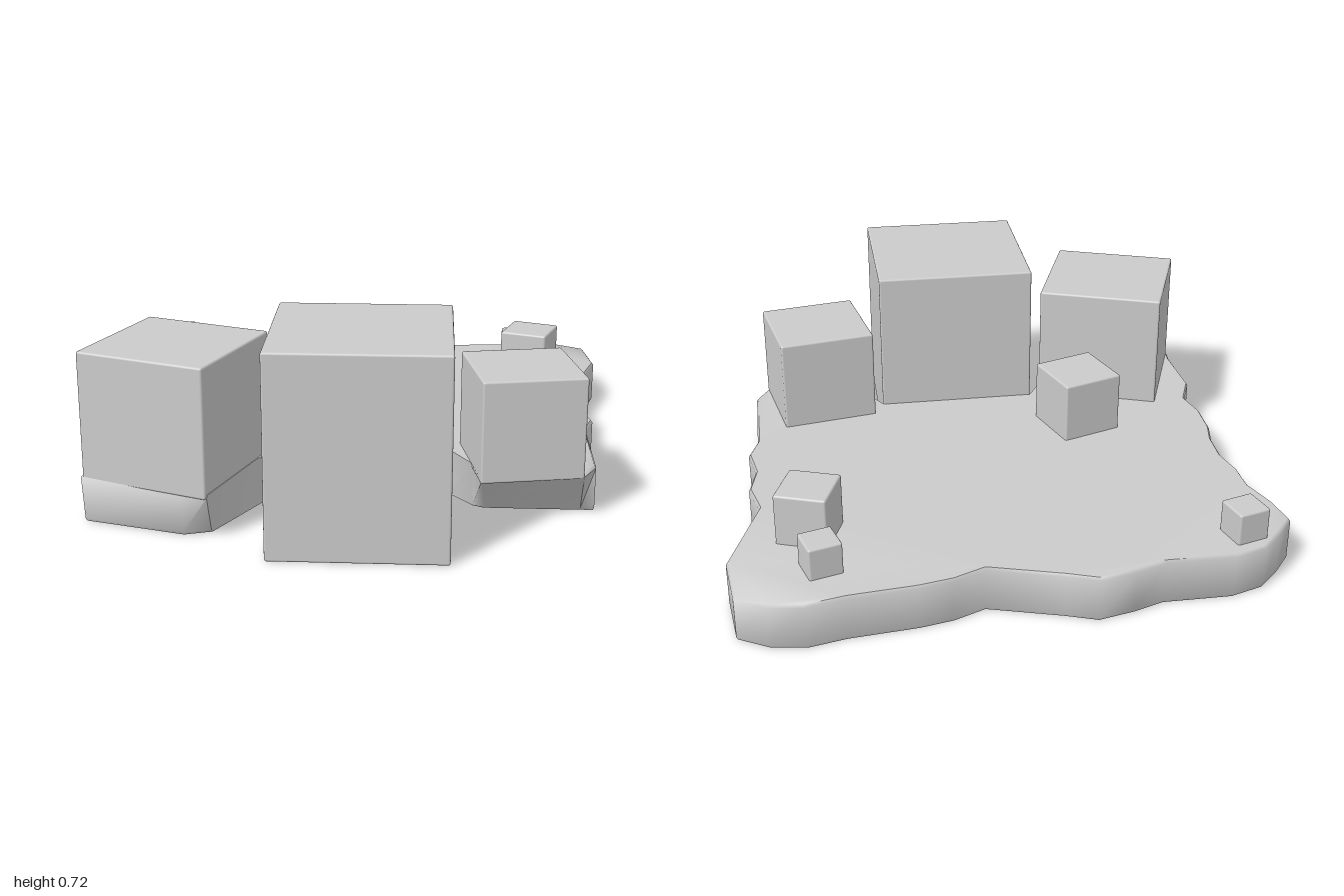
import * as THREE from 'three';
import { toCreasedNormals } from 'three/addons/utils/BufferGeometryUtils.js';
import { RoundedBoxGeometry } from 'three/addons/geometries/RoundedBoxGeometry.js';

const material = new THREE.MeshStandardMaterial({ color: 0xcccccc });
const TOP = 0.172; // slab surface height

// Slab outline [x, z], clockwise seen from above, in four runs
const backEdge = [
  [-1, -0.72], [-0.93, -0.81], [-0.86, -0.88], [-0.74, -0.92], [-0.49, -0.92], [-0.38, -0.96],
  [-0.25, -0.99], [-0.14, -0.95], [0.125, -0.87], [0.24, -0.92], [0.36, -0.945], [0.605, -0.97],
  [0.74, -1], [0.865, -0.98], [0.97, -0.92], [0.995, -0.71],
];
const leftEdge = [
  [0.88, -0.365], [0.915, -0.23], [0.89, -0.1], [0.915, 0.035], [0.88, 0.14], [0.88, 0.51],
];
// The front lip reaches out under the corner blocks and tucks in at the ground
const frontTop = [
  [0.83, 0.6], [0.47, 0.665], [0.44, 0.51], [0.365, 0.385],
  [-0.25, 0.385], [-0.33, 0.52], [-0.455, 0.86], [-0.55, 0.826], [-0.92, 0.695],
];
const frontGround = [
  [0.83, 0.51], [0.49, 0.51], [0.45, 0.49], [0.365, 0.385],
  [-0.25, 0.385], [-0.32, 0.52], [-0.455, 0.77], [-0.55, 0.8], [-0.91, 0.7],
];
const rightEdge = [
  [-0.915, 0.64], [-0.93, 0.39], [-0.88, 0.26], [-0.91, 0.14], [-0.91, 0], [-0.89, -0.1],
  [-0.89, -0.235], [-0.92, -0.35], [-0.925, -0.47], [-0.975, -0.6],
];

// Stacks outline rings into a closed solid
function loft(rings) {
  const n = rings[0].points.length;
  const positions = [];
  const indices = [];
  rings.forEach(({ points, y, scale }) =>
    points.forEach(([x, z]) => positions.push(x * scale, y, z * scale)));
  for (let r = 0; r < rings.length - 1; r++) {
    for (let i = 0; i < n; i++) {
      const a = r * n + i;
      const b = r * n + (i + 1) % n;
      indices.push(a, a + n, b, b, a + n, b + n);
    }
  }
  const cap = (ring, up) => {
    const pts = rings[ring].points.map(([x, z]) => new THREE.Vector2(x, z));
    for (const [a, b, c] of THREE.ShapeUtils.triangulateShape(pts, [])) {
      const facesUp = THREE.ShapeUtils.area([pts[a], pts[b], pts[c]]) < 0;
      const o = ring * n;
      if (facesUp === up) indices.push(o + a, o + b, o + c);
      else indices.push(o + a, o + c, o + b);
    }
  };
  cap(0, false);
  cap(rings.length - 1, true);
  const geometry = new THREE.BufferGeometry();
  geometry.setAttribute('position', new THREE.Float32BufferAttribute(positions, 3));
  geometry.setIndex(indices);
  return toCreasedNormals(geometry, 0.9);
}

// Softly edged cube standing between two heights, turned about y
function block(name, x, z, size, bottom, top, degrees) {
  const height = top - bottom;
  const mesh = new THREE.Mesh(new RoundedBoxGeometry(size, height, size, 2, 0.008), material);
  mesh.name = name;
  mesh.position.set(x, bottom + height / 2, z);
  mesh.rotation.y = THREE.MathUtils.degToRad(degrees);
  return mesh;
}

export function createModel() {
  const group = new THREE.Group();
  group.name = 'blocksOnSlab';

  // Wavy-edged ground slab with a slightly eased top edge
  const ground = [...backEdge, ...leftEdge, ...frontGround, ...rightEdge];
  const rim = [...backEdge, ...leftEdge, ...frontTop, ...rightEdge];
  const slab = new THREE.Mesh(loft([
    { points: ground, y: 0, scale: 0.995 },
    { points: ground.map(([x, z], i) => [
      x + (rim[i][0] - x) * 0.06, z + (rim[i][1] - z) * 0.06]), y: 0.01, scale: 1 },
    { points: rim, y: TOP - 0.01, scale: 1 },
    { points: rim, y: TOP, scale: 0.992 },
  ]), material);
  slab.name = 'slab';
  group.add(slab);

  // Blocks: the front centre one reaches the ground, the rest sit on the slab
  const seat = TOP - 0.017;
  group.add(
    block('frontCentreBlock', 0.0575, 0.692, 0.614, 0, 0.72, 0),
    block('frontRightBlock', -0.6025, 0.551, 0.486, seat, 0.62, -20.3),
    block('frontLeftBlock', 0.616, 0.454, 0.37, seat, 0.525, 10.5),
    block('middleBlock', -0.393, 0.12, 0.243, seat, 0.405, 19.2),
    block('backLeftBlock', 0.703, -0.558, 0.19, seat, 0.365, -19.9),
    block('smallLeftBlock', 0.675, -0.787, 0.122, seat, 0.29, 16.5),
    block('smallRightBlock', -0.805, -0.787, 0.122, seat, 0.29, 16.5),
  );
  return group;
}
